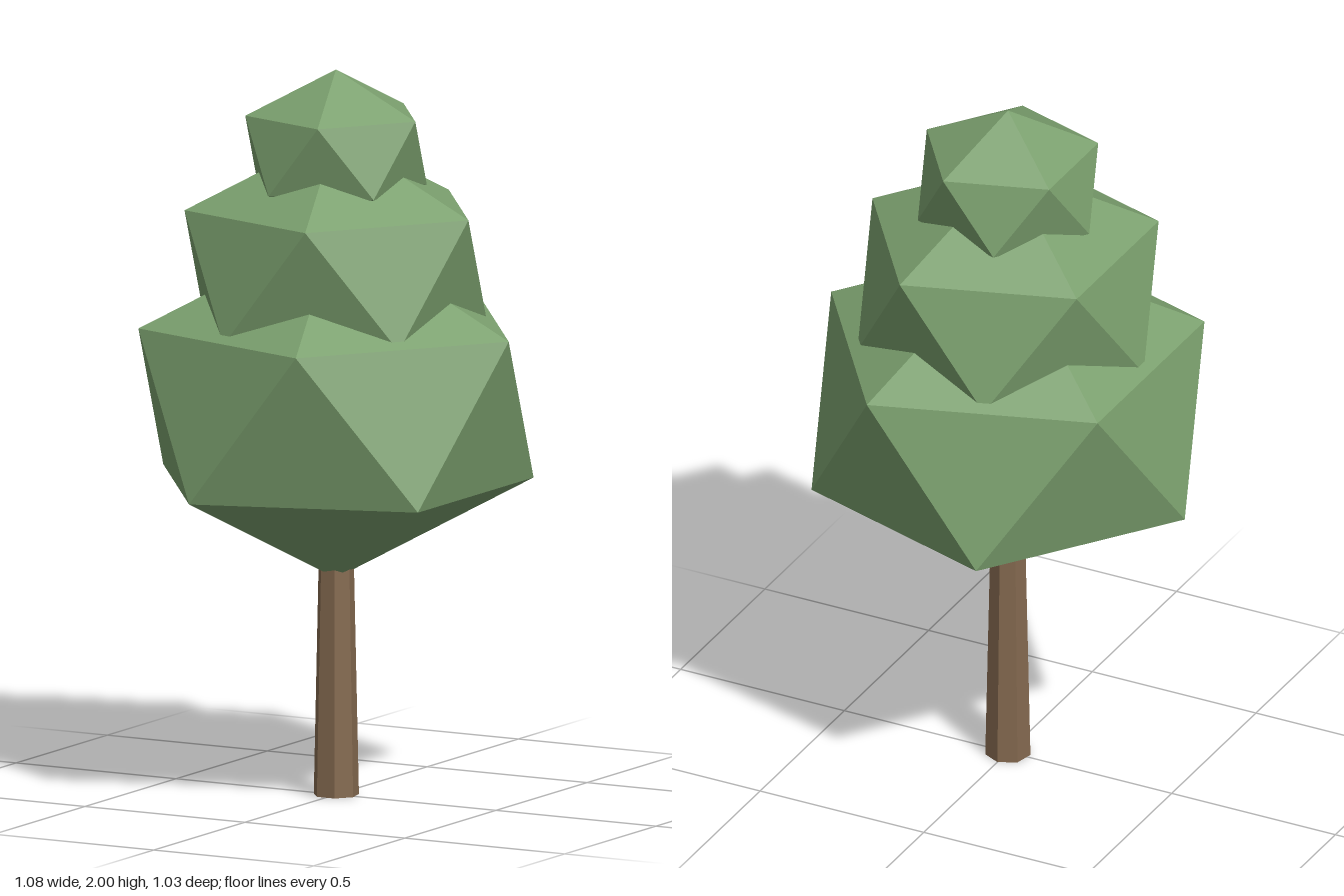
import * as THREE from 'three';

const leafMaterial = new THREE.MeshStandardMaterial({ color: 0x7ba06e, flatShading: true });
const barkMaterial = new THREE.MeshStandardMaterial({ color: 0x84694f, flatShading: true });

const SQUASH = 0.8;                       // vertical flattening of the foliage
const RING = 2 / Math.sqrt(5);            // icosahedron ring radius for radius 1
const TILT = Math.atan(2 / (1 + Math.sqrt(5)));

// Icosahedron standing on a corner, with one upper-ring corner towards +x
function foliage(name, ringRadius, centerY) {
  const geometry = new THREE.IcosahedronGeometry(ringRadius / RING, 0);
  geometry.rotateZ(-TILT);
  geometry.scale(1, SQUASH, 1);
  geometry.computeVertexNormals();
  const mesh = new THREE.Mesh(geometry, leafMaterial);
  mesh.name = name;
  mesh.position.y = centerY;
  return mesh;
}

export function createModel() {
  const tree = new THREE.Group();
  tree.name = 'tree';

  // Seven-sided tapered trunk, its top hidden in the foliage
  const height = 0.65;
  const trunkGeometry = new THREE.CylinderGeometry(0.049, 0.063, height, 7);
  trunkGeometry.rotateY(Math.PI);
  trunkGeometry.translate(0, height / 2, 0);
  const trunk = new THREE.Mesh(trunkGeometry, barkMaterial);
  trunk.name = 'trunk';
  tree.add(trunk);

  // Three stacked foliage clumps, shrinking upwards
  tree.add(
    foliage('lowerFoliage', 0.54, 1.08),
    foliage('middleFoliage', 0.414, 1.454),
    foliage('upperFoliage', 0.248, 1.778),
  );
  return tree;
}
